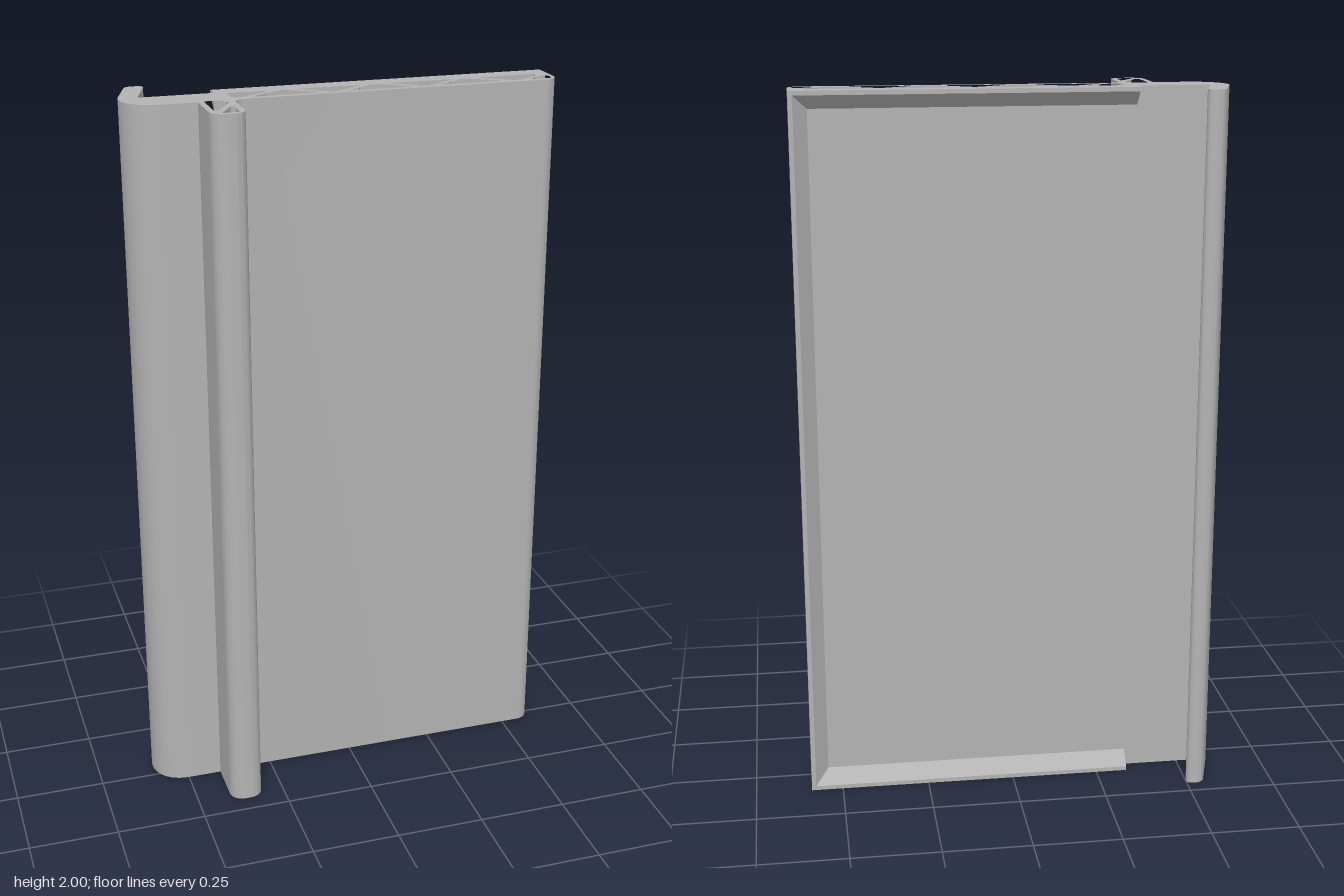
import * as THREE from 'three';
import { toCreasedNormals } from 'three/addons/utils/BufferGeometryUtils.js';

const HEIGHT = 2;

// Shapes are drawn as (x, -z) and extruded upward along y.
const outline = (Type, pts) => new Type(pts.map(([x, z]) => new THREE.Vector2(x, -z)));

function extrudeUp(shape, depth) {
  const geo = new THREE.ExtrudeGeometry(shape, { depth, bevelEnabled: false, curveSegments: 12 });
  geo.rotateX(-Math.PI / 2);
  return toCreasedNormals(geo, 0.5);
}

// Cross-section of the profile: hook, flat panel, rounded edge and front leg
function bodyShape() {
  const s = new THREE.Shape();
  const line = (x, z) => s.lineTo(x, -z);
  // Quarter-round corner through a control corner (cx, cz)
  const round = (cx, cz, x, z) => {
    const p = s.currentPoint, k = 0.5523;
    s.bezierCurveTo(
      p.x + (cx - p.x) * k, p.y + (-cz - p.y) * k,
      x + (cx - x) * k, -z + (-cz + z) * k, x, -z);
  };
  s.moveTo(-0.54, 0.06);
  line(0.59, -0.06);
  line(0.59, -0.005);
  round(0.59, 0.035, 0.55, 0.035);
  line(-0.28, 0.035);
  round(-0.312, 0.035, -0.312, 0.067);
  line(-0.312, 0.16);
  round(-0.312, 0.198, -0.35, 0.198);
  line(-0.367, 0.198);
  round(-0.405, 0.198, -0.405, 0.16);
  line(-0.405, 0.043);
  line(-0.5, 0.043);
  round(-0.61, 0.043, -0.59, -0.068);
  line(-0.553, -0.186);
  round(-0.547, -0.205, -0.53, -0.205);
  line(-0.518, -0.205);
  round(-0.495, -0.205, -0.501, -0.184);
  line(-0.54, -0.06);

  const holes = [];
  const top = -0.045, low = 0.017;
  // Repeating truss cells, alternately pointing to the back and the front
  for (const x of [-0.163, 0.091, 0.345]) {
    holes.push([[x - 0.085, low], [x - 0.085, 0.009], [x - 0.008, -0.041],
      [x + 0.008, -0.041], [x + 0.085, 0.009], [x + 0.085, low]]);
  }
  for (const x of [-0.035, 0.221]) {
    holes.push([[x - 0.085, top], [x - 0.085, -0.037], [x - 0.008, 0.014],
      [x + 0.008, 0.014], [x + 0.085, -0.037], [x + 0.085, top]]);
  }
  // Cells at both ends of the panel
  holes.push([[-0.31, top], [-0.205, top], [-0.205, -0.037], [-0.285, 0.015], [-0.293, 0.015], [-0.31, 0.003]]);
  holes.push([[0.39, top], [0.39, -0.037], [0.468, 0.014], [0.484, 0.014], [0.547, -0.025], [0.547, top]]);
  holes.push([[0.518, low], [0.518, 0.01], [0.557, -0.016], [0.578, -0.018], [0.578, 0.008], [0.569, low]]);
  // Cells inside the leg
  holes.push([[-0.389, 0.036], [-0.347, 0.036], [-0.329, 0.066], [-0.381, 0.158], [-0.389, 0.155]]);
  holes.push([[-0.329, 0.114], [-0.329, 0.182], [-0.373, 0.182], [-0.373, 0.176], [-0.337, 0.114]]);
  s.holes = holes.map((h) => outline(THREE.Path, h));
  return s;
}

export function createModel() {
  const group = new THREE.Group();
  const material = new THREE.MeshStandardMaterial({ color: 0xb3b3b3 });
  material.name = 'light grey';
  const add = (name, geo) => {
    const mesh = new THREE.Mesh(geo, material);
    mesh.name = name;
    group.add(mesh);
    return mesh;
  };

  add('profileBody', extrudeUp(bodyShape(), HEIGHT));

  // Bevelled rim around three sides of the back recess
  const rim = 0.012, foot = 0.05;
  add('sideRim', extrudeUp(outline(THREE.Shape,
    [[0.59, -0.06], [0.59, -0.1], [0.59 - rim, -0.1], [0.59 - foot, -0.06]]), HEIGHT));

  for (const [name, edge, dir] of [['bottomRim', 0, 1], ['topRim', HEIGHT, -1]]) {
    const section = new THREE.Shape([[0.06, 0], [0.1, 0], [0.1, rim], [0.06, foot]]
      .map(([d, y]) => new THREE.Vector2(d, edge + dir * y)));
    const geo = new THREE.ExtrudeGeometry(section, { depth: 0.93, bevelEnabled: false });
    geo.rotateY(Math.PI / 2); // section x becomes -z, length runs along +x
    geo.translate(-0.34, 0, 0);
    add(name, geo);
  }
  return group;
}
